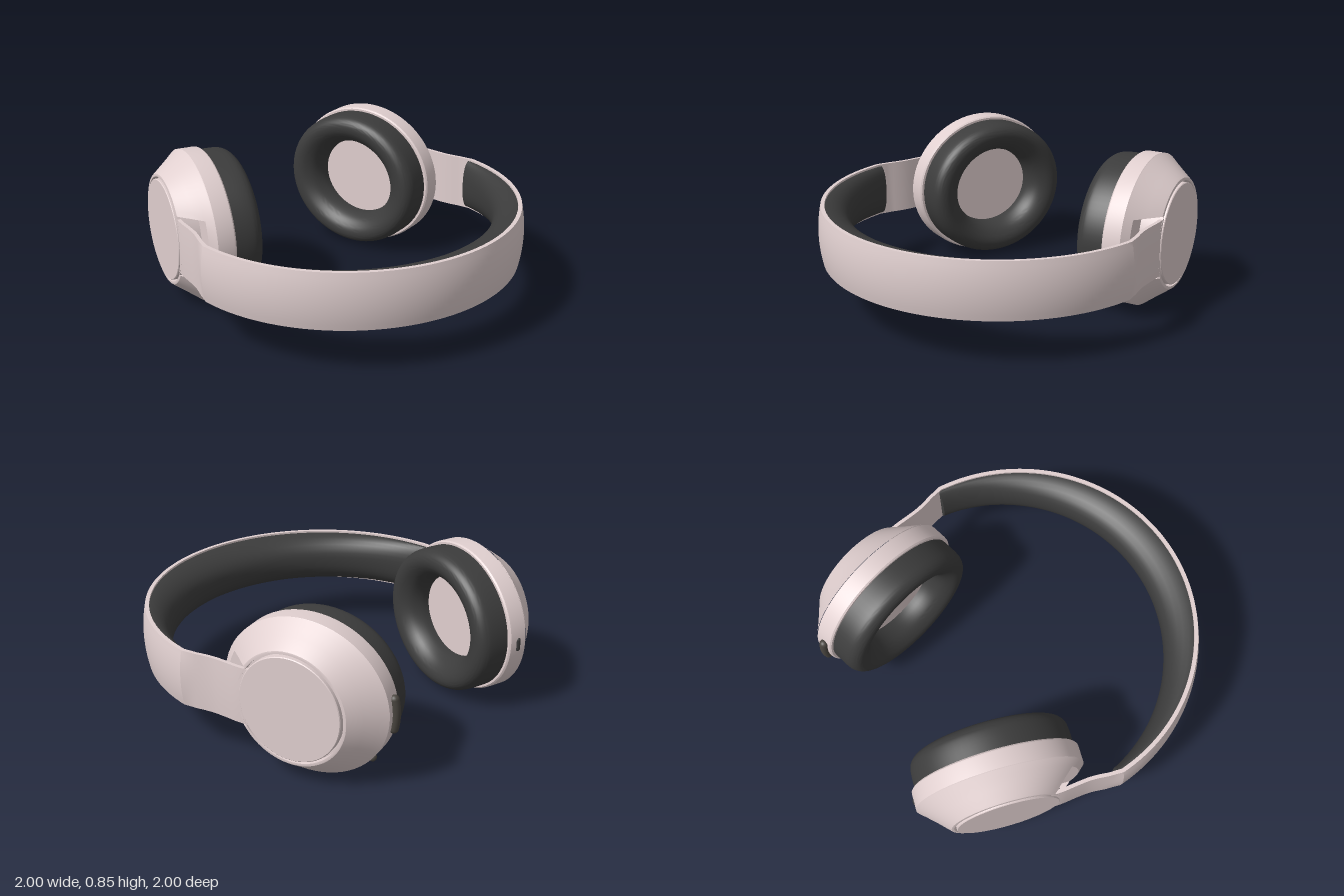
import * as THREE from 'three';
import { mergeVertices, toCreasedNormals } from 'three/addons/utils/BufferGeometryUtils.js';

const shellMat = new THREE.MeshStandardMaterial({ color: 0xe0cfcf });
const padMat = new THREE.MeshStandardMaterial({ color: 0x3c3c3c });
const detailMat = new THREE.MeshStandardMaterial({ color: 0x4a4640 });
const MID = 0.4265; // height of the centre plane
const STRETCH = 1.1; // ear cups are slightly longer than tall
const V = (x, y, z) => new THREE.Vector3(x, y, z);

function crease(geo, angle = 0.36) {
  geo.deleteAttribute('normal');
  geo.deleteAttribute('uv');
  return toCreasedNormals(mergeVertices(geo, 1e-5), angle);
}

function mesh(name, geo, mat) {
  const m = new THREE.Mesh(geo, mat);
  m.name = name;
  return m;
}

// Skin over closed rings of points, with optional fan caps
function loft(rings, caps) {
  const n = rings[0].length, pos = [], idx = [];
  rings.forEach(r => r.forEach(p => pos.push(p.x, p.y, p.z)));
  for (let j = 0; j < rings.length - 1; j++) {
    for (let i = 0; i < n; i++) {
      const a = j * n + i, b = j * n + (i + 1) % n;
      idx.push(a, b, b + n, a, b + n, a + n);
    }
  }
  if (caps) {
    [0, rings.length - 1].forEach((j, end) => {
      const c = rings[j].reduce((s, p) => s.add(p), V(0, 0, 0)).divideScalar(n);
      const k = pos.length / 3;
      pos.push(c.x, c.y, c.z);
      for (let i = 0; i < n; i++) {
        const a = j * n + i, b = j * n + (i + 1) % n;
        end ? idx.push(k, a, b) : idx.push(k, b, a);
      }
    });
  }
  const g = new THREE.BufferGeometry();
  g.setAttribute('position', new THREE.Float32BufferAttribute(pos, 3));
  g.setIndex(idx);
  return crease(g);
}

// Turned part around the cup axis (local x points outward); points are [radius, offset]
function turned(points, stretch) {
  const g = new THREE.LatheGeometry(points.map(p => new THREE.Vector2(p[0], p[1])), 72);
  g.rotateZ(-Math.PI / 2);
  g.scale(1, 1, stretch);
  return crease(g);
}

// Outer strap: half-circle band running on into a thin arm at each end
function strapGeometry() {
  const half = [], end = Math.PI / 2 - 0.045;
  for (let i = 0; i <= 40; i++) {
    const a = end * i / 40;
    half.push({ p: V(Math.sin(a), 0, Math.cos(a)), thick: 0.04, crown: 0.018 });
  }
  const arm = new THREE.CatmullRomCurve3([
    V(0.999, 0, 0.045), V(0.964, 0, -0.03), V(0.934, 0, -0.12),
    V(0.92, 0, -0.2), V(0.909, 0, -0.28), V(0.894, 0, -0.345)]);
  for (let i = 1; i <= 20; i++) {
    const f = Math.max(0, 1 - i / 4);
    half.push({ p: arm.getPoint(i / 20), thick: 0.024 + 0.016 * f, crown: 0.004 + 0.014 * f });
  }
  const mirrored = half.slice(1).reverse().map(h => ({ ...h, p: V(-h.p.x, 0, h.p.z) }));
  const path = [...mirrored, ...half];
  return loft(path.map(({ p, thick, crown }, i) => {
    const t = path[Math.min(i + 1, path.length - 1)].p.clone().sub(path[Math.max(i - 1, 0)].p).normalize();
    const at = (off, y) => V(p.x - t.z * off, MID + y, p.z + t.x * off);
    const ring = [];
    for (let k = 0; k <= 10; k++) {
      const u = 1 - k / 5;
      ring.push(at(-crown * u * u, 0.158 * u));
    }
    ring.push(at(-thick, -0.158), at(-thick, 0.158));
    return ring;
  }), true);
}

// Head cushion: thick in the middle, tapering to the ends, bulging inward
function cushionGeometry() {
  const rings = [], end = Math.PI / 2 - 0.035, c = -0.149, R = 0.934;
  for (let i = 0; i <= 80; i++) {
    const a = end * (i / 40 - 1);
    const inner = c * Math.cos(a) + Math.sqrt(R * R - (c * Math.sin(a)) ** 2);
    const at = (r, y) => V(r * Math.sin(a), MID + y, r * Math.cos(a));
    const ring = [at(0.963, 0.147), at(0.963, -0.147)];
    for (let k = 0; k <= 16; k++) {
      const u = -Math.cos(Math.PI * k / 16);
      const bulge = Math.max(0, 1 - Math.abs(u) ** 2.5) ** 0.6;
      ring.push(at(0.955 - (0.955 - inner) * bulge, 0.147 * u));
    }
    rings.push(ring);
  }
  return loft(rings, true);
}

// Conical housing with a notch cut toward the front for the arm
function housingGeometry() {
  const rows = [[0.425, 0], [0.398, 0.035], [0.36, 0.086], [0.322, 0.138], [0.312, 0.15],
    [0.305, 0.152], [0.304, 0.152], [0.297, 0.152], [0.293, 0.12], [0.26, 0.12]];
  return loft(rows.map(([r, s]) => {
    const b = Math.asin(0.175 / r), k = STRETCH - 0.1 * s / 0.152, ring = [];
    const at = (a, x) => ring.push(V(x, -r * Math.sin(a), k * r * Math.cos(a)));
    for (let i = 0; i <= 8; i++) at(b * (i / 4 - 1), r >= 0.305 ? Math.min(s, 0.035) : s);
    for (let i = 0; i <= 60; i++) at(b + (2 * Math.PI - 2 * b) * i / 60, s);
    return ring;
  }), false);
}

function earCup(side) {
  const cup = new THREE.Group();
  cup.name = side > 0 ? 'leftEarCup' : 'rightEarCup';
  cup.position.set(0.683, 0, -0.535);
  cup.rotation.y = Math.PI / 12;

  cup.add(mesh('housing', housingGeometry(), shellMat));
  cup.add(mesh('rimAndSpeakerFace', turned([[0, -0.125], [0.26, -0.125], [0.261, -0.108], [0.417, -0.108],
    [0.424, -0.1], [0.425, -0.09], [0.425, -0.004], [0.421, 0]], STRETCH), shellMat));
  cup.add(mesh('outerDisc', turned([[0.285, 0.11], [0.285, 0.156], [0.281, 0.16], [0, 0.16]], 1), shellMat));

  // Soft ring with a rounded opening
  const profile = new THREE.SplineCurve([[0.232, -0.108], [0.234, -0.17], [0.258, -0.23], [0.3, -0.268],
    [0.34, -0.28], [0.375, -0.27], [0.398, -0.24], [0.405, -0.195], [0.405, -0.107]]
    .map(p => new THREE.Vector2(...p))).getPoints(40).map(p => [p.x, p.y]);
  cup.add(mesh('earCushion', turned(profile, STRETCH), padMat));

  if (side > 0) {
    // Curved rocker button and a round button on the back of the rim
    const pts = [];
    for (let i = 0; i <= 8; i++) {
      const a = 0.19 * (i / 4 - 1);
      pts.push(V(-0.06, 0.43 * Math.sin(a), -0.472 * Math.cos(a)));
    }
    cup.add(mesh('rockerButton', new THREE.TubeGeometry(new THREE.CatmullRomCurve3(pts), 16, 0.025, 16), detailMat));
    [pts[0], pts[8]].forEach(p => {
      const tip = mesh('rockerTip', new THREE.SphereGeometry(0.025, 16, 12), detailMat);
      tip.position.copy(p);
      cup.add(tip);
    });
    const dot = mesh('roundButton', new THREE.SphereGeometry(0.022, 16, 12), detailMat);
    dot.position.set(-0.05, -0.273, -0.358);
    cup.add(dot);
  } else {
    const port = mesh('chargingPort', new THREE.CapsuleGeometry(0.016, 0.05, 6, 16), padMat);
    port.position.set(-0.05, 0, -0.458);
    cup.add(port);
  }

  // The cup is symmetric top to bottom, so a half turn mirrors it
  const holder = new THREE.Group();
  holder.name = cup.name + 'Mount';
  holder.position.y = MID;
  holder.rotation.z = side > 0 ? 0 : Math.PI;
  holder.add(cup);
  return holder;
}

export function createModel() {
  const model = new THREE.Group();
  model.name = 'headphones';
  model.add(mesh('headbandAndArms', strapGeometry(), shellMat));
  model.add(mesh('headCushion', cushionGeometry(), padMat));
  model.add(earCup(1), earCup(-1));
  return model;
}
